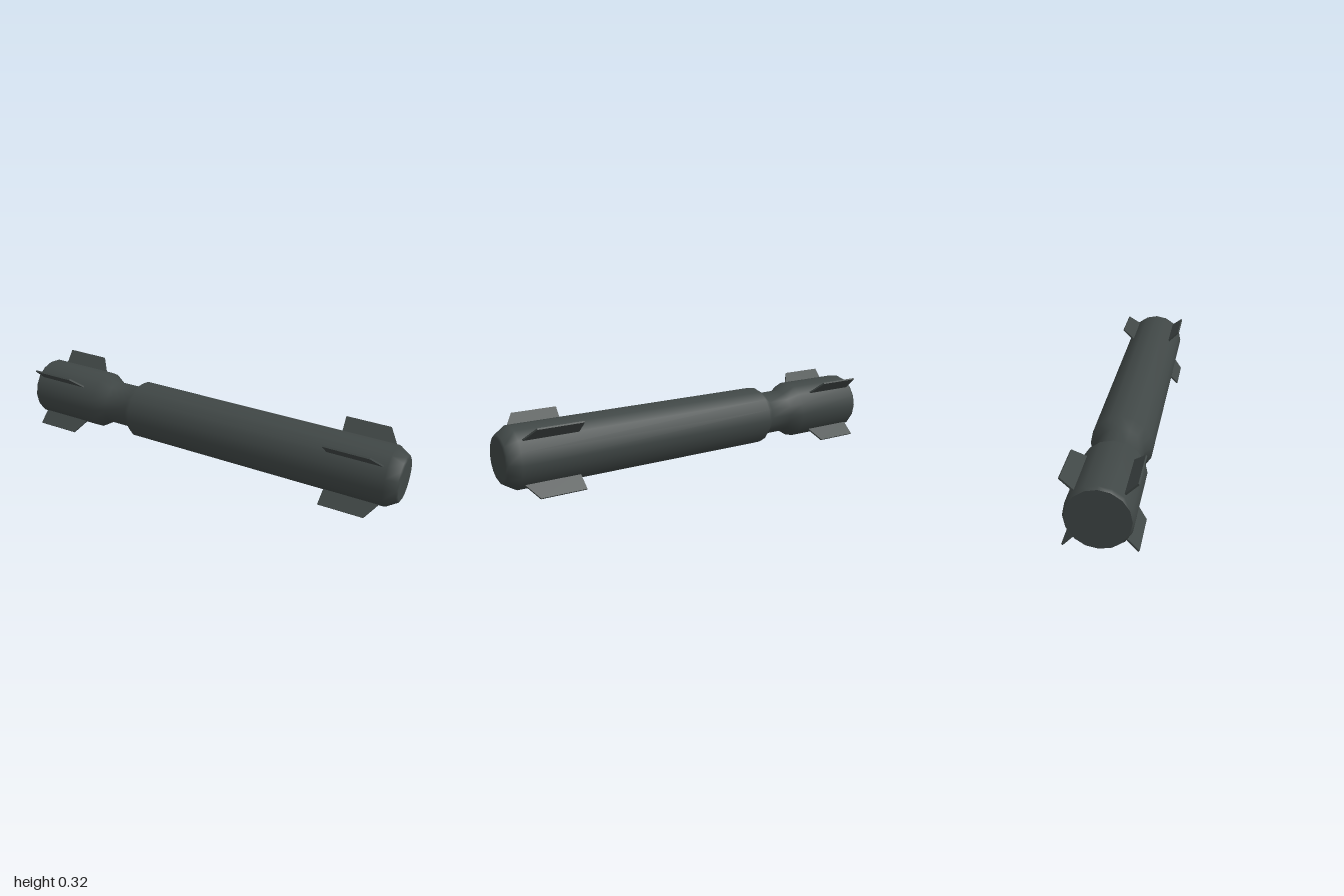
import * as THREE from 'three';

const CENTER_Y = 0.161;

export function createModel() {
  const model = new THREE.Group();
  model.name = 'finnedCylinder';
  const slate = new THREE.MeshStandardMaterial({ color: 0x404746 });
  slate.name = 'dark slate';

  // Body: [radius, x] profile from tail to nose; repeated points give a sharp edge
  const profile = [
    [0, -1], [0.137, -1], [0.137, -1], [0.146, -0.985],
    [0.146, -0.626], [0.11, -0.567], [0.11, -0.444], [0.146, -0.4],
    [0.146, 0.94], [0.112, 0.993], [0.1, 1], [0, 1],
  ].map(([r, x]) => new THREE.Vector2(r, x));
  const bodyGeometry = new THREE.LatheGeometry(profile, 16);
  bodyGeometry.rotateZ(-Math.PI / 2);
  const body = new THREE.Mesh(bodyGeometry, slate);
  body.name = 'body';
  body.position.y = CENTER_Y;
  model.add(body);

  // Fin: thin plate with a swept leading edge, standing out along +y
  const thickness = 0.008;
  const outline = [[0.005, 0.13], [0.278, 0.13], [0.268, 0.146], [0.22, 0.222], [0, 0.222]];
  const finShape = new THREE.Shape(outline.map(([x, y]) => new THREE.Vector2(x, y)));
  const finGeometry = new THREE.ExtrudeGeometry(finShape, { depth: thickness, bevelEnabled: false });
  finGeometry.translate(0, 0, -thickness / 2);

  // Two rings of four diagonal fins
  for (const [name, x] of [['tailFins', -0.968], ['noseFins', 0.652]]) {
    const ring = new THREE.Group();
    ring.name = name;
    ring.position.set(x, CENTER_Y, 0);
    for (let i = 0; i < 4; i++) {
      const fin = new THREE.Mesh(finGeometry, slate);
      fin.name = 'fin';
      fin.rotation.x = Math.PI / 4 + (i * Math.PI) / 2;
      ring.add(fin);
    }
    model.add(ring);
  }
  return model;
}
